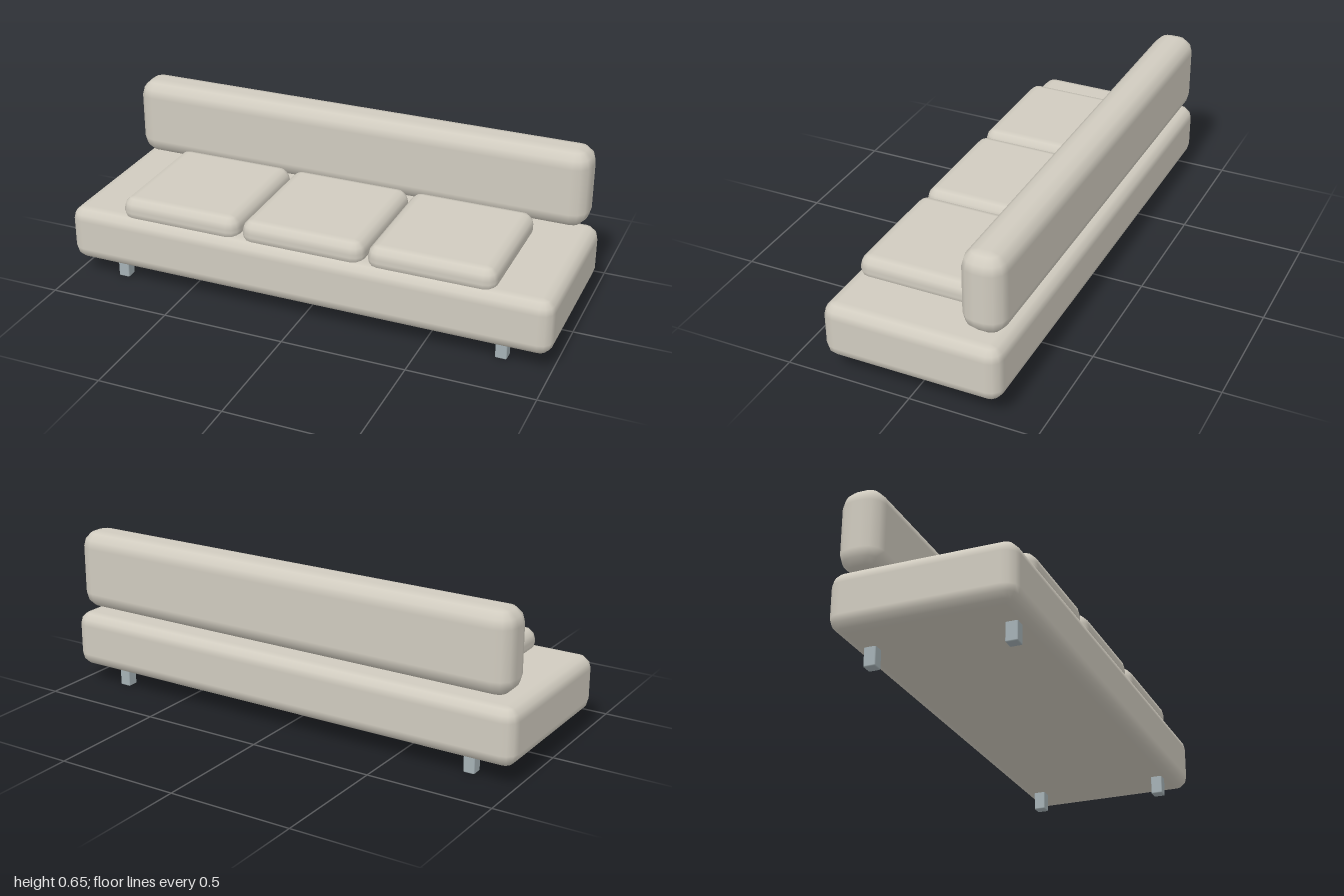
import * as THREE from 'three';
import { ConvexGeometry } from 'three/addons/geometries/ConvexGeometry.js';

const STEPS = 3; // facets per rounded edge

const fabric = new THREE.MeshStandardMaterial({ color: 0xd0cbbf });
const metal = new THREE.MeshStandardMaterial({ color: 0xa6b2b6 });

// Box with rounded edges: an eighth of a sphere at each corner, wrapped in a hull
function softBox(w, h, d, r) {
  const core = new THREE.Vector3(w / 2 - r, h / 2 - r, d / 2 - r);
  const points = [];
  for (const sx of [-1, 1]) for (const sy of [-1, 1]) for (const sz of [-1, 1]) {
    for (let i = 0; i <= STEPS; i++) {
      const a = (i / STEPS) * Math.PI / 2;
      const columns = i === STEPS ? 0 : STEPS;
      for (let j = 0; j <= columns; j++) {
        const b = (j / STEPS) * Math.PI / 2;
        points.push(new THREE.Vector3(
          sx * (core.x + r * Math.cos(a) * Math.cos(b)),
          sy * (core.y + r * Math.sin(a)),
          sz * (core.z + r * Math.cos(a) * Math.sin(b))
        ));
      }
    }
  }
  const geometry = new ConvexGeometry(points);

  // Smooth normals point away from the inner core box
  const position = geometry.attributes.position;
  const normal = geometry.attributes.normal;
  const low = core.clone().negate();
  const p = new THREE.Vector3();
  const q = new THREE.Vector3();
  for (let i = 0; i < position.count; i++) {
    p.fromBufferAttribute(position, i);
    q.copy(p).clamp(low, core);
    p.sub(q).normalize();
    normal.setXYZ(i, p.x, p.y, p.z);
  }
  return geometry;
}

export function createModel() {
  const sofa = new THREE.Group();
  sofa.name = 'sofa';

  const add = (name, geometry, material, x, y, z) => {
    const mesh = new THREE.Mesh(geometry, material);
    mesh.name = name;
    mesh.position.set(x, y, z);
    sofa.add(mesh);
  };

  // Wide padded base
  add('base', softBox(2, 0.227, 0.706, 0.052), fabric, 0, 0.1885, 0);

  // Long backrest along the rear edge
  add('backrest', softBox(1.94, 0.322, 0.17, 0.066), fabric, 0, 0.491, -0.267);

  // Three seat cushions sunk slightly into the base
  const cushion = softBox(0.508, 0.107, 0.54, 0.047);
  ['rightCushion', 'middleCushion', 'leftCushion'].forEach((name, i) => {
    add(name, cushion, fabric, (i - 1) * 0.52, 0.3235, 0.057);
  });

  // Four short square legs
  const leg = softBox(0.046, 0.085, 0.047, 0.005);
  for (const [side, sx] of [['Left', 1], ['Right', -1]]) {
    for (const [end, sz] of [['front', 1], ['back', -1]]) {
      add(`${end}${side}Leg`, leg, metal, sx * 0.801, 0.0425, sz * 0.268);
    }
  }

  return sofa;
}
